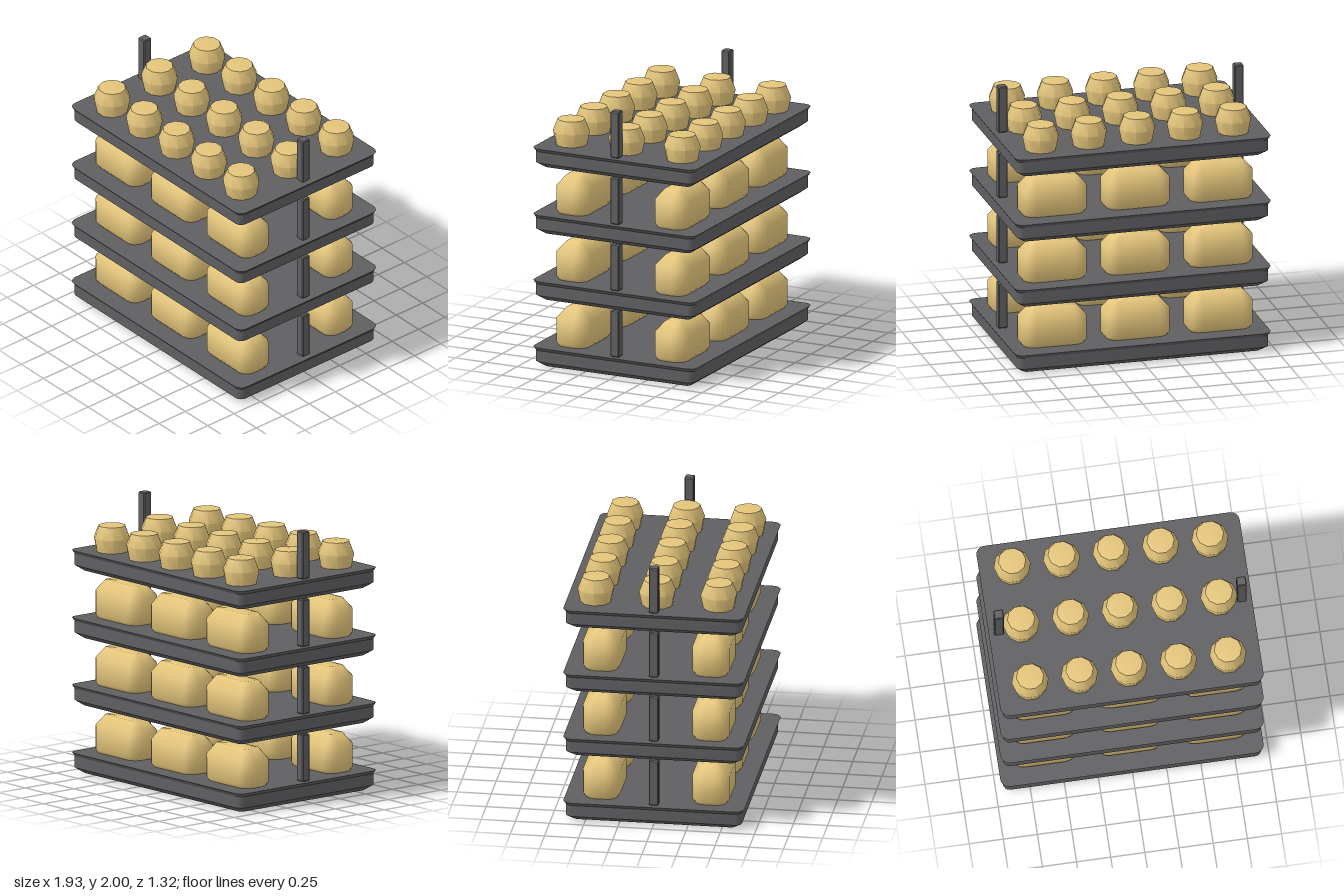
import * as THREE from 'three';
import { toCreasedNormals } from 'three/addons/utils/BufferGeometryUtils.js';

const bread = new THREE.MeshStandardMaterial({ color: 0xe3c47a });
const metal = new THREE.MeshStandardMaterial({ color: 0x5f5f62 });

// Closed solid through rounded-rectangle sections [y, halfX, halfZ, cornerRadius]
function loft(sections, cornerSteps, crease) {
  const pos = [], index = [];
  const n = 4 * (cornerSteps + 1);
  for (const [y, hx, hz, r] of sections) {
    for (let c = 0; c < 4; c++) {
      const sx = c === 0 || c === 3 ? 1 : -1;
      const sz = c < 2 ? 1 : -1;
      for (let k = 0; k <= cornerSteps; k++) {
        const a = (c + k / cornerSteps) * Math.PI / 2;
        pos.push(sx * (hx - r) + r * Math.cos(a), y, sz * (hz - r) + r * Math.sin(a));
      }
    }
  }
  const last = (sections.length - 1) * n;
  const bottom = pos.length / 3, top = bottom + 1;
  pos.push(0, sections[0][0], 0, 0, sections[sections.length - 1][0], 0);
  for (let i = 0; i < n; i++) {
    const j = (i + 1) % n;
    for (let s = 0; s < last; s += n) {
      index.push(s + i, s + n + i, s + j, s + j, s + n + i, s + n + j);
    }
    index.push(bottom, i, j, top, last + j, last + i);
  }
  const geo = new THREE.BufferGeometry();
  geo.setAttribute('position', new THREE.Float32BufferAttribute(pos, 3));
  geo.setIndex(index);
  return toCreasedNormals(geo, crease);
}

export function createModel() {
  const model = new THREE.Group();
  model.name = 'breadRack';

  // Tray: chamfered underside, straight wall, flared lip
  const trayGeo = loft([
    [0, 0.89, 0.59, 0.03],
    [0.04, 0.945, 0.645, 0.05],
    [0.125, 0.945, 0.645, 0.05],
    [0.15, 0.963, 0.662, 0.065],
  ], 4, 0.5);

  // Post: square bar with small chamfers
  const postGeo = loft([
    [0.15, 0.029, 0.029, 0.004],
    [0.157, 0.035, 0.035, 0.007],
    [0.493, 0.035, 0.035, 0.007],
    [0.5, 0.029, 0.029, 0.004],
  ], 1, 0.5);

  // Loaf: rounded block with a sloped crown
  const loafGeo = loft([
    [0.15, 0.228, 0.118, 0.08],
    [0.175, 0.247, 0.137, 0.1],
    [0.35, 0.247, 0.137, 0.1],
    [0.43, 0.175, 0.065, 0.03],
  ], 4, 0.9);

  // Bun: ten-sided barrel with a shallow domed top
  const bunProfile = [[0, 0.15], [0.115, 0.15], [0.135, 0.25], [0.1, 0.34], [0, 0.35]]
    .map(([r, y]) => new THREE.Vector2(r, y));
  const bunGeo = toCreasedNormals(new THREE.LatheGeometry(bunProfile, 10, Math.PI / 2), 0.75);

  const add = (parent, name, geo, material, x, z) => {
    const mesh = new THREE.Mesh(geo, material);
    mesh.name = name;
    mesh.position.set(x, 0, z);
    parent.add(mesh);
  };

  for (let level = 0; level < 4; level++) {
    const shelf = new THREE.Group();
    shelf.name = 'shelf' + (level + 1);
    shelf.position.y = level * 0.5;
    model.add(shelf);

    add(shelf, 'tray', trayGeo, metal, 0, 0);
    add(shelf, 'leftPost', postGeo, metal, 0.888, 0);
    add(shelf, 'rightPost', postGeo, metal, -0.888, 0);

    if (level < 3) {
      // Two rows of three loaves
      for (const z of [-0.4, 0.4]) {
        for (const x of [-0.625, 0, 0.625]) add(shelf, 'loaf', loafGeo, bread, x, z);
      }
    } else {
      // Three rows of five buns on the top tray
      for (const z of [-0.45, 0, 0.45]) {
        for (let i = -2; i <= 2; i++) add(shelf, 'bun', bunGeo, bread, i * 0.362, z);
      }
    }
  }
  return model;
}
